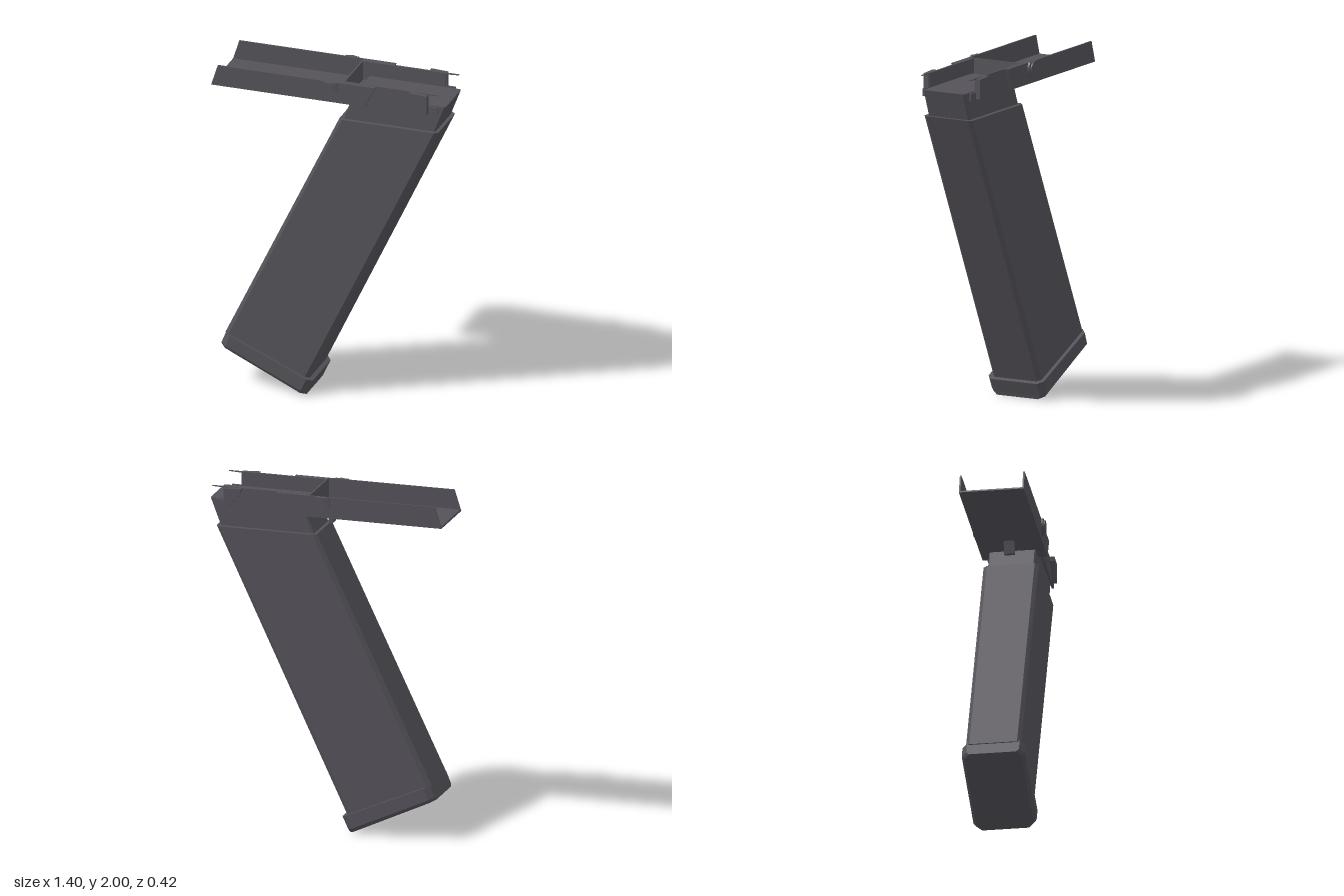
import * as THREE from 'three';

const darkMetal = new THREE.MeshStandardMaterial({ color: 0x545259 });
darkMetal.name = 'darkMetal';

// Solid between sloping chamfered rectangles; each ring is {l:[x,y], r:[x,y], z:halfDepth, c:chamfer}
function loft(rings) {
  const loops = rings.map(({ l, r, z, c }) => {
    const k = c / (r[0] - l[0]);
    const corners = [[1 - k, z], [1, z - c], [1, c - z], [1 - k, -z], [k, -z], [0, c - z], [0, z - c], [k, z]];
    return corners.map(([u, d]) => [l[0] + (r[0] - l[0]) * u, l[1] + (r[1] - l[1]) * u, d]);
  });
  const pos = [];
  const tri = (a, b, c) => pos.push(...a, ...b, ...c);
  for (let k = 0; k < loops.length - 1; k++) {
    const lo = loops[k], hi = loops[k + 1];
    for (let i = 0; i < 8; i++) {
      const j = (i + 1) % 8;
      tri(lo[i], lo[j], hi[j]);
      tri(lo[i], hi[j], hi[i]);
    }
  }
  const first = loops[0], last = loops[loops.length - 1];
  for (let i = 1; i < 7; i++) {
    tri(first[0], first[i + 1], first[i]);
    tri(last[0], last[i], last[i + 1]);
  }
  const g = new THREE.BufferGeometry();
  g.setAttribute('position', new THREE.Float32BufferAttribute(pos, 3));
  g.computeVertexNormals();
  return g;
}

// Side-view outline extruded from z0 to z1
function slab(shape, z0, z1) {
  const s = Array.isArray(shape) ? new THREE.Shape(shape.map(p => new THREE.Vector2(...p))) : shape;
  return new THREE.ExtrudeGeometry(s, { depth: z1 - z0, bevelEnabled: false, curveSegments: 20 }).translate(0, 0, z0);
}

// Round pin outline cut flat at the tray rim
function cutDisc(radius) {
  const cy = 1.965, a = Math.asin(Math.min(1, 0.035 / radius));
  return new THREE.Shape().absarc(0.018, cy, radius, Math.PI - a, 2 * Math.PI + a, false);
}

export function createModel() {
  const model = new THREE.Group();
  model.name = 'slantedColumnWithTray';
  const add = (name, geometry) => {
    const mesh = new THREE.Mesh(geometry, darkMetal);
    mesh.name = name;
    model.add(mesh);
  };
  const box = (name, x0, x1, y0, y1, z) =>
    add(name, new THREE.BoxGeometry(x1 - x0, y1 - y0, 2 * z).translate((x0 + x1) / 2, (y0 + y1) / 2, 0));

  // Slanted column, its foot and its narrower neck
  add('column', loft([
    { l: [-0.63, 0.32], r: [-0.125, 0.1], z: 0.16, c: 0.022 },
    { l: [0.06, 1.76], r: [0.66, 1.76], z: 0.16, c: 0.022 },
  ]));
  add('foot', loft([
    { l: [-0.655, 0.245], r: [-0.14, 0.003], z: 0.165, c: 0.03 },
    { l: [-0.648, 0.262], r: [-0.132, 0.025], z: 0.182, c: 0.03 },
    { l: [-0.62, 0.33], r: [-0.097, 0.1], z: 0.182, c: 0.03 },
  ]));
  add('neck', loft([
    { l: [0.075, 1.75], r: [0.635, 1.75], z: 0.135, c: 0.008 },
    { l: [0.145, 1.92], r: [0.7, 1.92], z: 0.135, c: 0.008 },
  ]));

  // Open tray: floor, raised plate, cross wall and the peg below
  add('trayFloor', slab([[-0.7, 1.875], [0.23, 1.875], [0.235, 1.885], [-0.697, 1.885]], -0.18, 0.18));
  box('floorPlate', -0.055, 0.06, 1.88, 1.9, 0.125);
  box('crossWall', 0.09, 0.1, 1.88, 2, 0.16);
  add('peg', slab([[-0.016, 1.88], [0.0, 1.8], [0.022, 1.8], [0.026, 1.88]], -0.03, 0.03));

  // Side pieces, repeated on both faces
  for (const side of [-1, 1]) {
    const label = side > 0 ? 'front' : 'back';
    const addSide = (name, shape, a, b) =>
      add(label + name, side > 0 ? slab(shape, a, b) : slab(shape, -b, -a));
    addSide('TrayWall', [[-0.7, 1.875], [0.23, 1.875], [0.29, 2], [-0.66, 2]], 0.178, 0.187);
    addSide('Flange', [[0.09, 1.875], [0.229, 1.875], [0.289, 1.999], [0.09, 1.999]], 0.15, 0.18);
    addSide('NeckRail', [[0.09, 1.875], [0.66, 1.875], [0.66, 1.92], [0.6, 1.92], [0.6, 2], [0.09, 2]], 0.148, 0.16);
    addSide('Tab', [[0.505, 1.975], [0.575, 1.89], [0.605, 1.88], [0.605, 1.995], [0.5, 2]], 0.155, 0.187);
    addSide('RailTip', [[0.59, 1.992], [0.68, 1.997], [0.68, 2], [0.59, 2]], 0.15, 0.16);
    // Stepped pivot pin
    addSide('PinCollar', cutDisc(0.052), 0.18, 0.2);
    addSide('PinHead', cutDisc(0.036), 0.2, 0.208);
  }
  return model;
}
